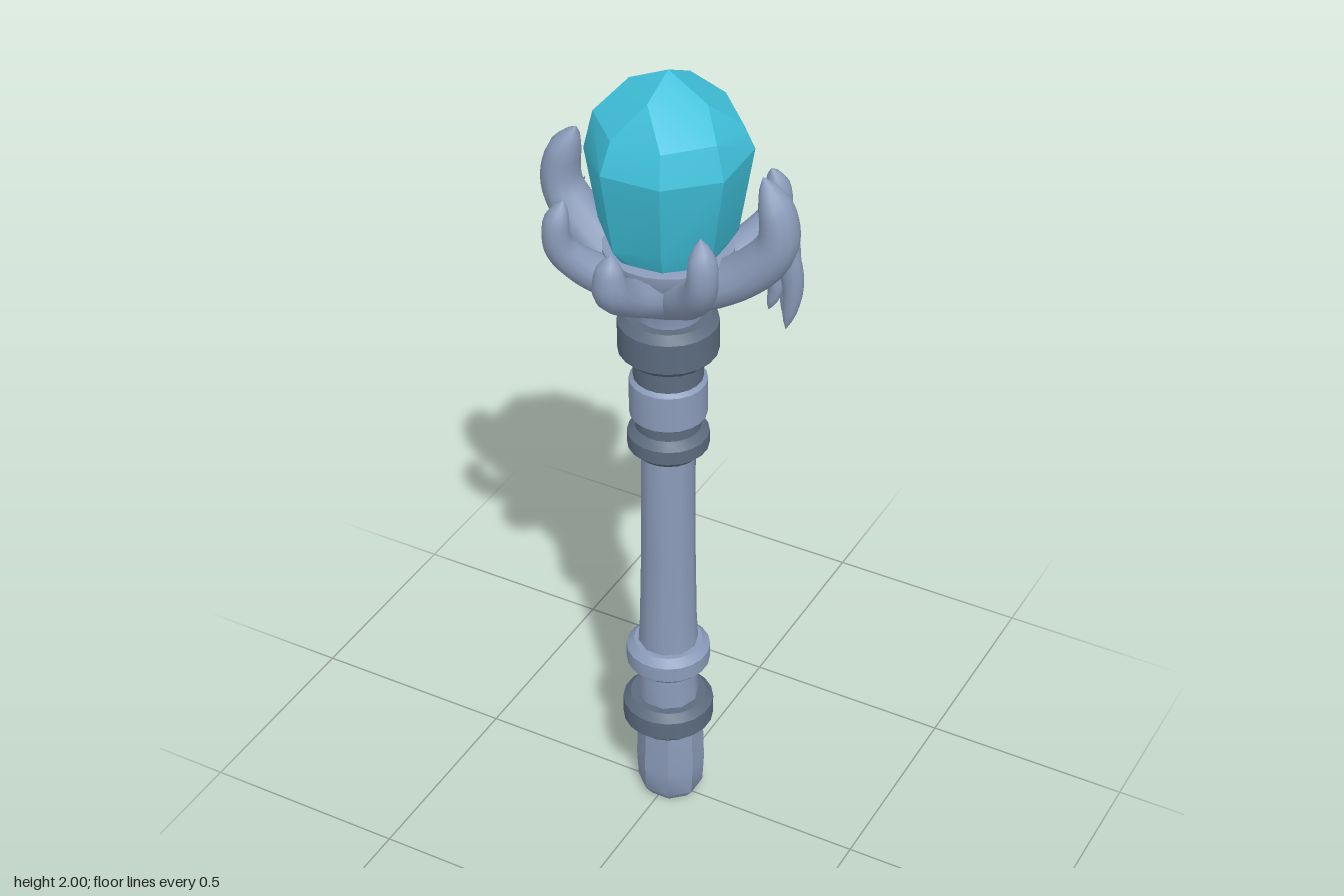
import * as THREE from 'three';
import { toCreasedNormals } from 'three/addons/utils/BufferGeometryUtils.js';
import { ConvexGeometry } from 'three/addons/geometries/ConvexGeometry.js';

const material = (name, color) => {
  const m = new THREE.MeshStandardMaterial({ color });
  m.name = name;
  return m;
};

// Solid of revolution from [radius, y] pairs, with crisp edges
function turned(profile, sides) {
  const pts = profile.map(([r, y]) => new THREE.Vector2(r, y));
  return toCreasedNormals(new THREE.LatheGeometry(pts, sides, Math.PI / sides), 0.7);
}

// Bevelled band between two heights
const band = (r, y0, y1, b = 0.018) =>
  turned([[0, y0], [r - b, y0], [r, y0 + b], [r, y1 - b], [r - b, y1], [0, y1]], 20);

// Smooth tapering limb in the local xy plane; keys are [x, y, halfWidth, halfThickness, z]
function limb(keys, steps = 22, sides = 12) {
  const path = new THREE.CatmullRomCurve3(keys.map(k => new THREE.Vector3(k[0], k[1], k[4] || 0)));
  const size = new THREE.CatmullRomCurve3(keys.map(k => new THREE.Vector3(k[2], k[3], 0)));
  const pos = [], index = [], side = new THREE.Vector3(0, 0, 1);
  for (let j = 0; j <= steps; j++) {
    const t = j / steps, c = path.getPoint(t), s = size.getPoint(t);
    const tangent = path.getTangent(t);
    const w = side.clone().addScaledVector(tangent, -side.dot(tangent)).normalize();
    const n = tangent.clone().cross(w);
    // round off the tip
    const k = j === steps ? 0.02 : Math.sqrt(Math.min(1, (1 - t) * 8));
    for (let i = 0; i < sides; i++) {
      const a = i / sides * Math.PI * 2;
      const p = c.clone().addScaledVector(w, Math.cos(a) * s.x * k).addScaledVector(n, Math.sin(a) * s.y * k);
      pos.push(p.x, p.y, p.z);
      if (j < steps) {
        const i2 = (i + 1) % sides, r = j * sides, q = r + sides;
        index.push(r + i, r + i2, q + i2, r + i, q + i2, q + i);
      }
    }
  }
  const g = new THREE.BufferGeometry();
  g.setAttribute('position', new THREE.Float32BufferAttribute(pos, 3));
  g.setIndex(index);
  g.computeVertexNormals();
  return g;
}

// Faceted gem: hull of slightly uneven octagonal rings
function gemGeometry() {
  let seed = 7;
  const jitter = s => ((seed = (seed * 16807) % 2147483647) / 2147483647 - 0.5) * s;
  const pts = [new THREE.Vector3(0, 2, 0)];
  const rings = [[4, 1.95, 0.095, 0], [8, 1.885, 0.158, 0.5], [8, 1.81, 0.182, 0.5], [8, 1.62, 0.152, 0.5], [8, 1.53, 0.1, 0.5]];
  for (const [n, y, r, turn] of rings)
    for (let i = 0; i < n; i++) {
      const a = (i + turn) / n * Math.PI * 2, rr = r + jitter(0.006);
      pts.push(new THREE.Vector3(Math.sin(a) * rr, y + jitter(0.03), Math.cos(a) * rr));
    }
  return toCreasedNormals(new ConvexGeometry(pts), 0.4);
}

export function createModel() {
  const model = new THREE.Group();
  const stone = material('pale stone', 0x8b9bb9);
  const iron = material('dark iron', 0x5c6b7e);
  const crystal = material('cyan crystal', 0x3fc0da);
  const add = (name, geometry, mat, parent = model) => {
    const mesh = new THREE.Mesh(geometry, mat);
    mesh.name = name;
    parent.add(mesh);
    return mesh;
  };

  // Handle, bottom to top
  const pommel = add('pommel', turned([[0, 0], [0.06, 0], [0.08, 0.025], [0.084, 0.1], [0.08, 0.23], [0, 0.23]], 8), stone);
  pommel.scale.z = 0.93;
  pommel.position.x = 0.006;
  add('lowerDarkCollar', band(0.109, 0.22, 0.305), iron);
  add('lowerGrip', turned([[0, 0.29], [0.074, 0.29], [0.07, 0.42], [0, 0.42]], 10), stone);
  add('lowerRing', band(0.1, 0.395, 0.47), stone);
  add('shaft', turned([[0, 0.46], [0.072, 0.46], [0.068, 0.54], [0.064, 0.75], [0.063, 1.04], [0, 1.04]], 10), stone);
  add('upperDarkRing', band(0.094, 1.03, 1.1), iron);
  add('gapRing', band(0.076, 1.09, 1.14, 0.005), iron);
  add('upperGrip', band(0.089, 1.125, 1.235, 0.01), stone);
  add('darkNeck', band(0.08, 1.225, 1.3, 0.006), iron);
  add('topDarkCollar', band(0.114, 1.29, 1.4), iron);

  // Cup holding the crystal
  const cup = [[0, 1.39], [0.075, 1.39], [0.074, 1.42], [0.088, 1.455], [0.115, 1.5], [0.143, 1.55], [0.145, 1.575], [0.125, 1.58], [0, 1.55]];
  add('cup', turned(cup, 24), stone);
  add('crystal', gemGeometry(), crystal);

  // Eight claws around the cup: tall on the sides, short front and back, slim on diagonals
  const tall = limb([[0.04, 1.46, 0.07, 0.04], [0.13, 1.515, 0.072, 0.05], [0.21, 1.575, 0.062, 0.052],
    [0.262, 1.65, 0.052, 0.046], [0.262, 1.72, 0.046, 0.04], [0.225, 1.805, 0.028, 0.026]]);
  const short = limb([[0.04, 1.45, 0.065, 0.04], [0.13, 1.51, 0.062, 0.043], [0.2, 1.55, 0.05, 0.04],
    [0.25, 1.595, 0.043, 0.04], [0.26, 1.64, 0.034, 0.03], [0.25, 1.685, 0.02, 0.02]]);
  const slim = limb([[0.04, 1.45, 0.06, 0.04], [0.13, 1.51, 0.055, 0.043], [0.2, 1.56, 0.042, 0.04],
    [0.242, 1.61, 0.036, 0.034], [0.25, 1.66, 0.034, 0.03], [0.232, 1.725, 0.024, 0.022]]);
  for (let i = 0; i < 8; i++) {
    const [name, geometry] = i % 2 ? ['slimClaw', slim] : i % 4 ? ['shortClaw', short] : ['tallClaw', tall];
    add(name, geometry, stone).rotation.y = i * Math.PI / 4;
  }

  // Icicle drips hanging from the claws: [x, z, top, bottom, radius]
  const drips = [
    [-0.265, -0.045, 1.67, 1.46, 0.027], [-0.22, -0.065, 1.62, 1.345, 0.027], [-0.165, -0.14, 1.58, 1.42, 0.022],
    [0.265, -0.045, 1.67, 1.41, 0.029], [0.2, -0.165, 1.66, 1.355, 0.029], [0.215, -0.135, 1.62, 1.43, 0.022],
    [0.23, -0.03, 1.6, 1.46, 0.022]
  ];
  for (const [x, z, top, bottom, r] of drips) {
    const h = top - bottom, lean = Math.sign(x) * 0.012;
    add('drip', limb([[x - lean * 2, top, r * 0.7, r * 0.7, z + 0.02], [x, top - h * 0.3, r, r, z],
      [x + lean, top - h * 0.6, r * 0.8, r * 0.8, z - 0.006], [x, bottom, r * 0.35, r * 0.35, z]], 14, 10), stone);
  }
  return model;
}
